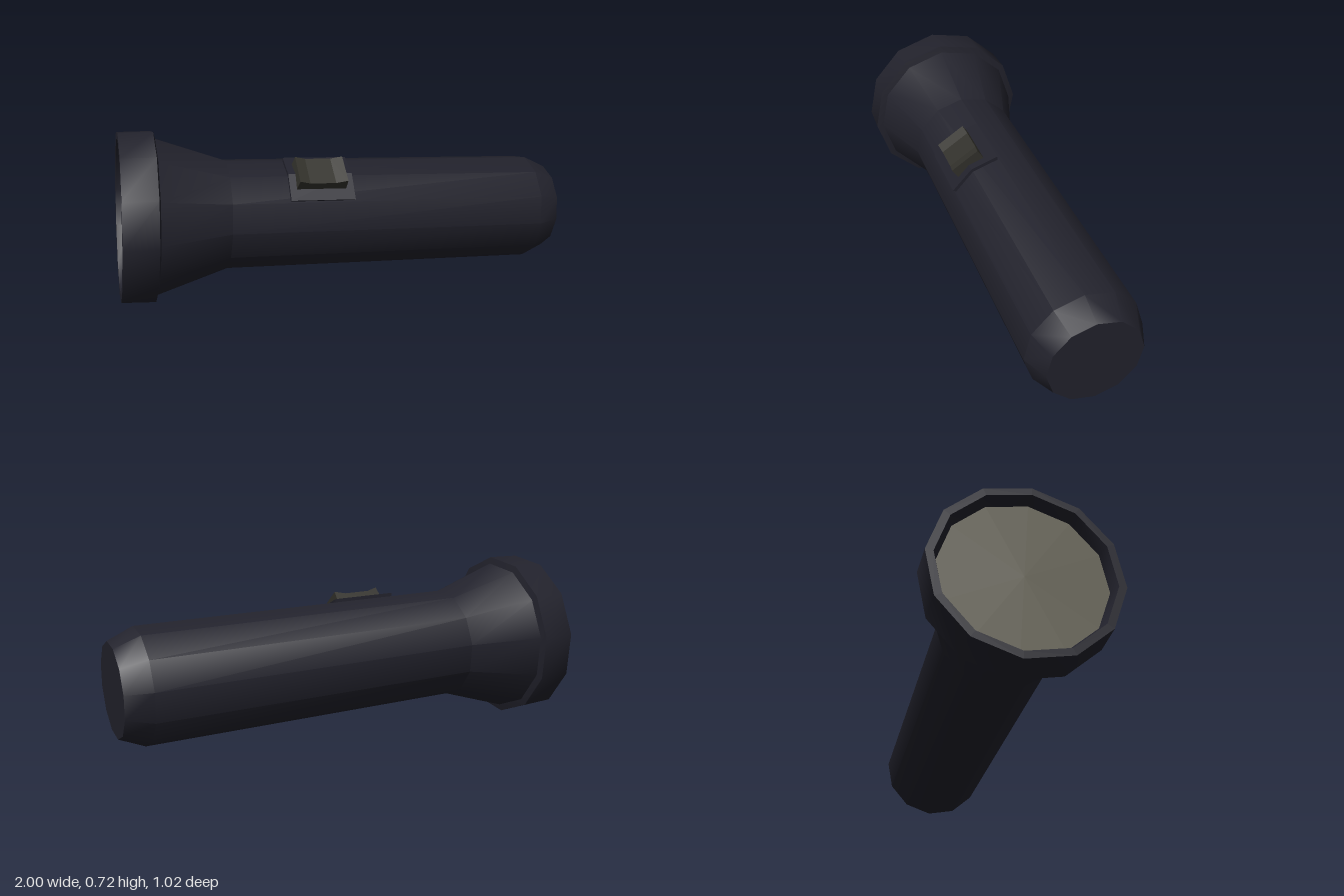
import * as THREE from 'three';
import { toCreasedNormals } from 'three/addons/utils/BufferGeometryUtils.js';

const SIDES = 12;
const casing = new THREE.MeshStandardMaterial({ color: 0x22222c });
const glass = new THREE.MeshStandardMaterial({ color: 0x666355 });
const rubber = new THREE.MeshStandardMaterial({ color: 0x33322c });

function part(name, geometry, material) {
  const mesh = new THREE.Mesh(geometry, material);
  mesh.name = name;
  return mesh;
}

// Revolve [radius, distance from the front] pairs around the torch axis (local y)
function lathe(pairs) {
  const points = pairs.map(([r, s]) => new THREE.Vector2(r, s));
  return toCreasedNormals(new THREE.LatheGeometry(points, SIDES), 0.6);
}

function extrude(pairs, depth) {
  const shape = new THREE.Shape(pairs.map(([a, b]) => new THREE.Vector2(a, b)));
  return new THREE.ExtrudeGeometry(shape, { depth, bevelEnabled: false });
}

export function createModel() {
  const torch = new THREE.Group();
  torch.name = 'flashlight';

  // Head: recessed bezel, wide rim and a small step behind it
  torch.add(part('headRim', lathe([
    [0.312, 0.05], [0.328, 0], [0.358, 0], [0.362, 0.14], [0.33, 0.148],
  ]), casing));

  // Flared neck, straight barrel and tapered tail cap
  torch.add(part('barrel', lathe([
    [0.335, 0.14], [0.235, 0.44], [0.235, 1.827], [0.19, 1.93], [0, 1.93],
  ]), casing));

  // Lens faces out of the head
  const lens = new THREE.CircleGeometry(0.314, SIDES);
  lens.rotateX(Math.PI / 2).translate(0, 0.048, 0);
  torch.add(part('lens', lens, glass));

  // Switch plate: a raised strip that bends over the barrel
  const arc = (r, angles) => angles.map((a) => [r * Math.sin(a), r * Math.cos(a)]);
  const half = 0.495;
  const plate = extrude([...arc(0.249, [half, 0, -half]), ...arc(0.21, [-half, 0, half])], 0.275);
  plate.rotateX(Math.PI / 2).translate(0, 0.955, 0);
  torch.add(part('switchPlate', plate, casing));

  // Switch button: shallow dished slider, profile drawn along the axis
  const button = extrude([
    [0.707, 0.22], [0.92, 0.22], [0.92, 0.28], [0.87, 0.267], [0.76, 0.267], [0.715, 0.28],
  ], 0.136);
  button.translate(0, 0, -0.068);
  button.applyMatrix4(new THREE.Matrix4().makeBasis(
    new THREE.Vector3(0, 1, 0), new THREE.Vector3(0, 0, 1), new THREE.Vector3(1, 0, 0)));
  torch.add(part('switchButton', button, rubber));

  // Lay the torch down: axis runs to the tail, switch rolled partly to the front
  const axis = new THREE.Vector3(1.87, -0.11, -0.475).normalize();
  const up = new THREE.Vector3(0, 0.819, 0.574);
  up.addScaledVector(axis, -up.dot(axis)).normalize();
  const side = new THREE.Vector3().crossVectors(axis, up);
  torch.quaternion.setFromRotationMatrix(new THREE.Matrix4().makeBasis(side, axis, up));
  torch.position.set(-0.915, 0.36, 0.165);

  const model = new THREE.Group();
  model.name = 'model';
  model.add(torch);
  return model;
}
